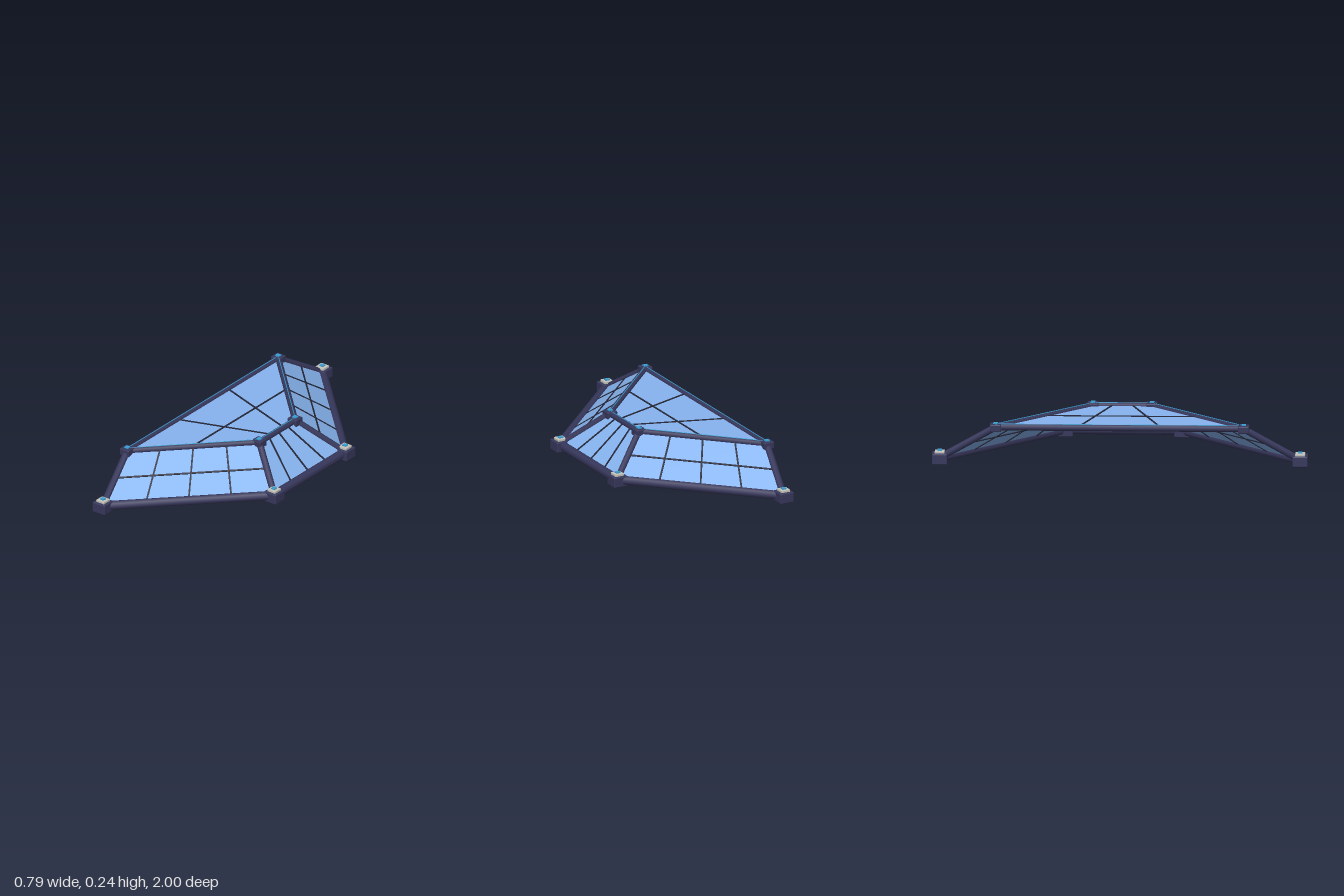
import * as THREE from 'three';
import { RoundedBoxGeometry } from 'three/addons/geometries/RoundedBoxGeometry.js';

const paint = (color, extra = {}) => new THREE.MeshStandardMaterial({ color, ...extra });
const V = (x, y, z) => new THREE.Vector3(x, y, z);
const lerp = (a, b, t) => a.clone().lerp(b, t);

export function createModel() {
  const model = new THREE.Group();
  const frame = paint(0x37375c);
  const bar = paint(0x26283a);
  const glass = paint(0x86b3ee, { side: THREE.DoubleSide });
  const pale = paint(0xc4c4bc);
  const cyan = paint(0x3a9fd4);

  function add(geometry, material, name, position) {
    const mesh = new THREE.Mesh(geometry, material);
    mesh.name = name;
    if (position) mesh.position.copy(position);
    model.add(mesh);
    return mesh;
  }

  // Round member between two points
  function rod(a, b, radius, material, name, sides = 8) {
    const dir = b.clone().sub(a);
    const mesh = add(new THREE.CylinderGeometry(radius, radius, dir.length(), sides), material, name, lerp(a, b, 0.5));
    mesh.quaternion.setFromUnitVectors(V(0, 1, 0), dir.normalize());
  }

  // Square glazing bar lying in a panel with the given normal
  function glazingBar(a, b, normal) {
    const dir = b.clone().sub(a);
    const length = dir.length();
    dir.normalize();
    const mesh = add(new THREE.BoxGeometry(0.009, length, 0.014), bar, 'glazingBar', lerp(a, b, 0.5));
    mesh.quaternion.setFromRotationMatrix(
      new THREE.Matrix4().makeBasis(dir.clone().cross(normal), dir, normal));
  }

  // Thin four-cornered pane split by bars: a0-a1 is one edge, b0-b1 the opposite one
  function panel(name, a0, a1, b0, b1, columns, rows) {
    const normal = a1.clone().sub(a0).cross(b0.clone().sub(a0)).normalize();
    const offset = normal.clone().multiplyScalar(0.003);
    const corners = [a0, a1, b1, b0];
    const points = [
      ...corners.map((p) => p.clone().add(offset)),
      ...corners.map((p) => p.clone().sub(offset)),
    ];
    const geometry = new THREE.BufferGeometry().setFromPoints(points);
    const index = [0, 1, 2, 0, 2, 3, 4, 6, 5, 4, 7, 6];
    for (let i = 0; i < 4; i++) {
      const j = (i + 1) % 4;
      index.push(i, i + 4, j, j, i + 4, j + 4);
    }
    geometry.setIndex(index);
    const flat = geometry.toNonIndexed();
    flat.computeVertexNormals();
    add(flat, glass, name);
    for (let i = 1; i < columns; i++) {
      glazingBar(lerp(a0, a1, i / columns), lerp(b0, b1, i / columns), normal);
    }
    for (let i = 1; i < rows; i++) {
      glazingBar(lerp(a0, b0, i / rows), lerp(a1, b1, i / rows), normal);
    }
  }

  // Joint centres from front to back along the lower and upper rims
  const rim = (x0, z0, x1, z1, y) => [V(x0, y, z0), V(x1, y, z1), V(x1, y, -z1), V(x0, y, -z0)];
  const lower = rim(-0.298, 0.959, 0.351, 0.31, 0.031);
  const upper = rim(-0.364, 0.66, 0.134, 0.157, 0.215);

  // Joint blocks with their caps
  lower.forEach((p) => {
    add(new RoundedBoxGeometry(0.082, 0.058, 0.082, 2, 0.006), frame, 'lowerJoint', V(p.x, 0.029, p.z));
    add(new RoundedBoxGeometry(0.053, 0.016, 0.053, 1, 0.003), pale, 'jointPad', V(p.x, 0.062, p.z));
    add(new THREE.BoxGeometry(0.023, 0.012, 0.023), cyan, 'jointLight', V(p.x, 0.07, p.z));
  });
  upper.forEach((p) => {
    add(new RoundedBoxGeometry(0.06, 0.04, 0.06, 2, 0.006), frame, 'upperJoint', V(p.x, 0.214, p.z));
    add(new THREE.BoxGeometry(0.024, 0.012, 0.024), cyan, 'jointLight', V(p.x, 0.234, p.z));
  });

  // Light strip along the top of a member
  const strip = (a, b) => rod(a.clone().add(V(0, 0.0175, 0)), b.clone().add(V(0, 0.0175, 0)), 0.0025, cyan, 'lightStrip', 6);

  // Beams: open lower rim, closed upper rim, sloping hips
  for (let i = 0; i < 4; i++) {
    const next = upper[(i + 1) % 4];
    if (i < 3) rod(lower[i], lower[i + 1], 0.025, frame, 'lowerBeam');
    rod(upper[i], next, 0.0175, frame, 'upperBeam');
    strip(upper[i], next);
    rod(lower[i], upper[i], 0.019, frame, 'hipBeam');
    strip(lower[i], upper[i]);
  }

  // Glazing
  panel('frontGlass', lower[0], lower[1], upper[0], upper[1], 4, 2);
  panel('sideGlass', lower[1], lower[2], upper[1], upper[2], 4, 1);
  panel('backGlass', lower[2], lower[3], upper[2], upper[3], 4, 2);
  panel('roofGlass', upper[0], upper[3], upper[1], upper[2], 3, 2);

  return model;
}
